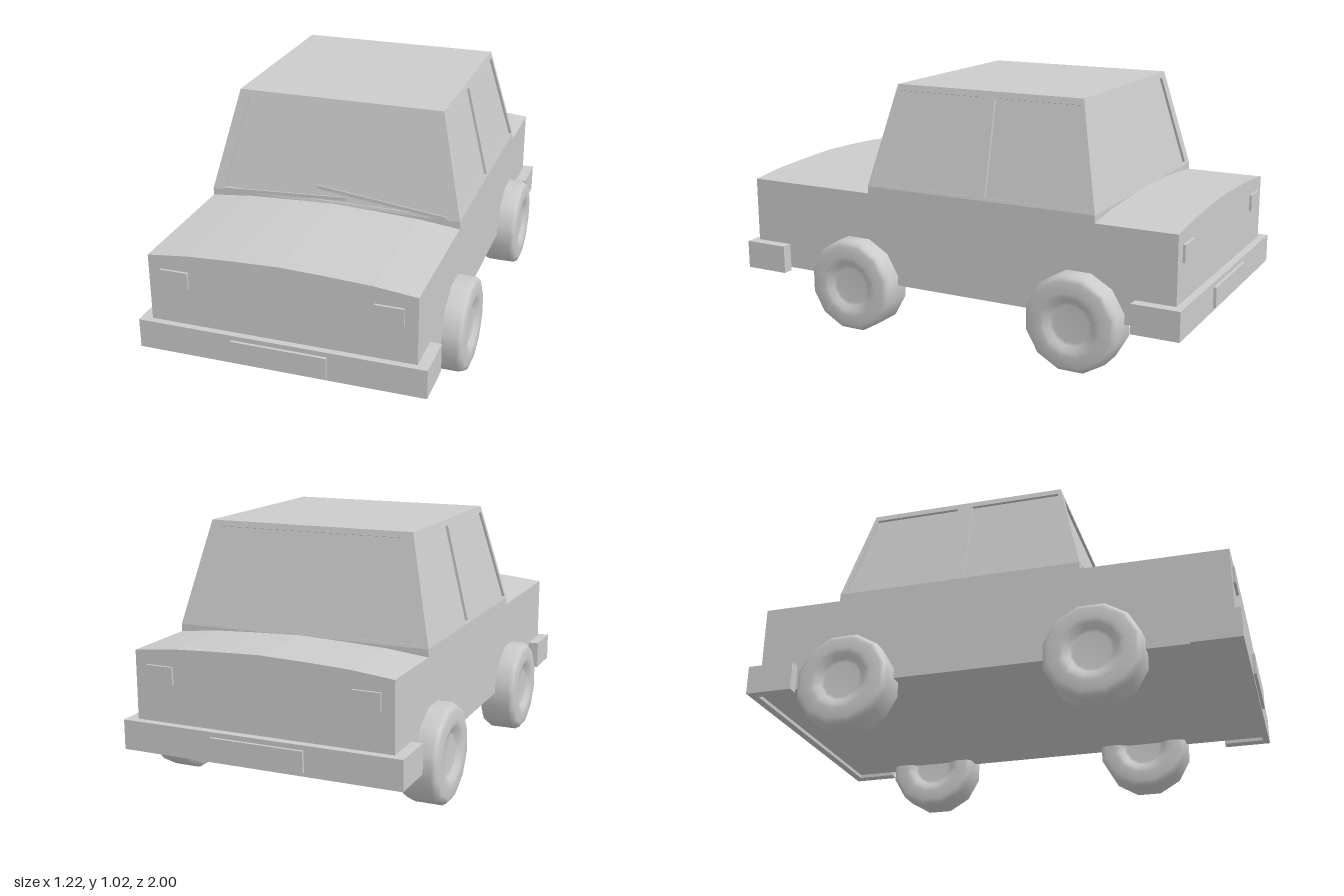
import * as THREE from 'three';

const mat = new THREE.MeshStandardMaterial({ color: 0xcccccc, flatShading: true, side: THREE.DoubleSide });
const smoothMat = new THREE.MeshStandardMaterial({ color: 0xcccccc });
const V = (x, y, z) => new THREE.Vector3(x, y, z);
const shapeOf = pts => new THREE.Shape(pts.map(p => new THREE.Vector2(...p)));
const extrude = (shape, depth) => new THREE.ExtrudeGeometry(shape, { depth, bevelEnabled: false });

function add(parent, name, geometry, material = mat) {
  const mesh = new THREE.Mesh(geometry, material);
  mesh.name = name;
  parent.add(mesh);
  return mesh;
}

// Box given by its limits on each axis
function box(parent, name, [x0, x1], [y0, y1], [z0, z1]) {
  const mesh = add(parent, name, new THREE.BoxGeometry(x1 - x0, y1 - y0, z1 - z0));
  mesh.position.set((x0 + x1) / 2, (y0 + y1) / 2, (z0 + z1) / 2);
  return mesh;
}

// Cabin dimensions
const BELT = 0.605, ROOF = 1.02, HALF_BASE = 0.527, HALF_ROOF = 0.427;
const FRONT_BASE = 0.382, FRONT_ROOF = 0.288, REAR_BASE = -0.628, REAR_ROOF = -0.533;

// Sloping cabin wall: outline and window corners are [distance along the wall, height]
function cabinWall(parent, name, origin, along, slope, outline, windows) {
  const k = slope.length() / slope.y, t = 0.015;
  const flat = pts => pts.map(([u, y]) => [u, (y - BELT) * k]);
  const wall = new THREE.Group();
  wall.name = name;
  const v = slope.clone().normalize();
  wall.applyMatrix4(new THREE.Matrix4().makeBasis(along, v, along.clone().cross(v)).setPosition(origin));
  const shape = shapeOf(flat(outline));
  for (const w of windows) {
    shape.holes.push(shapeOf(flat(w)));
    add(wall, 'windowGlass', new THREE.ShapeGeometry(shapeOf(flat(w)))).position.z = -0.011;
  }
  add(wall, 'windowFrame', extrude(shape, t)).position.z = -t;
  parent.add(wall);
}

function buildCabin(car) {
  const cabin = new THREE.Group();
  cabin.name = 'cabin';
  car.add(cabin);
  box(cabin, 'beltLine', [-HALF_BASE, HALF_BASE], [0.575, BELT], [REAR_BASE, FRONT_BASE]);
  box(cabin, 'roof', [-HALF_ROOF, HALF_ROOF], [ROOF - 0.015, ROOF], [REAR_ROOF, FRONT_ROOF]);

  // Windscreen and rear window
  const endOutline = [[-HALF_BASE, BELT], [HALF_BASE, BELT], [HALF_ROOF, ROOF], [-HALF_ROOF, ROOF]];
  const endGlass = [[-0.477, 0.617], [0.477, 0.617], [0.387, 0.997], [-0.387, 0.997]];
  const h = ROOF - BELT;
  cabinWall(cabin, 'windscreen', V(0, BELT, FRONT_BASE), V(1, 0, 0), V(0, h, FRONT_ROOF - FRONT_BASE), endOutline, [endGlass]);
  cabinWall(cabin, 'rearWindow', V(0, BELT, REAR_BASE), V(-1, 0, 0), V(0, h, REAR_ROOF - REAR_BASE), endOutline, [endGlass]);

  // Side walls, two windows each, split by the middle pillar
  const sideOutline = [[REAR_BASE, BELT], [FRONT_BASE, BELT], [FRONT_ROOF, ROOF], [REAR_ROOF, ROOF]];
  const sideGlass = [
    [[-0.095, 0.617], [0.36, 0.617], [0.276, 0.995], [-0.095, 0.995]],
    [[-0.605, 0.617], [-0.16, 0.617], [-0.16, 0.995], [-0.52, 0.995]],
  ];
  for (const s of [1, -1]) {
    const flip = pts => pts.map(([z, y]) => [-s * z, y]);
    cabinWall(cabin, s > 0 ? 'leftSide' : 'rightSide', V(s * HALF_BASE, BELT, 0), V(0, 0, -s),
      V(s * (HALF_ROOF - HALF_BASE), h, 0), flip(sideOutline), sideGlass.map(flip));
  }
}

// Straight wiper blade from pivot to tip
function wiper(car, [x0, y0], [x1, y1]) {
  const blade = add(car, 'wiper', new THREE.BoxGeometry(Math.hypot(x1 - x0, y1 - y0), 0.015, 0.005));
  blade.position.set((x0 + x1) / 2, (y0 + y1) / 2, 0.384);
  blade.rotation.z = Math.atan2(y1 - y0, x1 - x0);
}

// Bumper wrapped round the body corners, with plate and lamps
function buildEnd(car, name, sign, bodyEnd) {
  const end = new THREE.Group();
  end.name = name;
  const o = 0.572, i = 0.527;
  const bumper = extrude(shapeOf([[-o, 0.795], [-o, 0.988], [o, 0.988], [o, 0.795],
    [i, 0.795], [i, bodyEnd], [-i, bodyEnd], [-i, 0.795]]), 0.118);
  bumper.rotateX(Math.PI / 2);
  add(end, 'bumper', bumper).position.y = 0.303;
  box(end, 'numberPlate', [-0.19, 0.19], [0.2, 0.284], [0.98, 1]);
  for (const s of [-1, 1]) {
    box(end, 'lamp', [s * 0.421 - 0.056, s * 0.421 + 0.056], [0.456, 0.525], [bodyEnd - 0.01, bodyEnd + 0.01]);
  }
  if (sign < 0) end.rotation.y = Math.PI;
  car.add(end);
}

// Tyre and dished hub turned as one smooth shape
function buildWheels(car) {
  const R = 0.19 / Math.cos(Math.PI / 12);
  const half = [[0, 0.058], [0.075, 0.058], [0.088, 0.063], [0.108, 0.078], [0.13, 0.081],
    [0.172, 0.078], [0.187, 0.071], [R, 0.055]];
  const profile = [...half.map(([r, y]) => [r, -y]), ...half.slice().reverse()];
  const geometry = new THREE.LatheGeometry(profile.map(p => new THREE.Vector2(...p)), 12);
  geometry.rotateY(Math.PI / 12);
  geometry.rotateZ(-Math.PI / 2);
  for (const s of [-1, 1]) {
    for (const z of [0.435, -0.565]) {
      add(car, z > 0 ? 'frontWheel' : 'rearWheel', geometry, smoothMat).position.set(s * 0.531, 0.19, z);
    }
  }
}

export function createModel() {
  const car = new THREE.Group();
  car.name = 'car';

  // Lower body with a gently crowned top
  const section = shapeOf([[-0.527, 0.2], [0.527, 0.2], [0.527, 0.575], [0.36, 0.593], [0.18, 0.602],
    [0, 0.608], [-0.18, 0.602], [-0.36, 0.593], [-0.527, 0.575]]);
  add(car, 'body', extrude(section, 1.917)).position.z = -0.956;

  buildCabin(car);
  wiper(car, [-0.475, 0.608], [0.06, 0.638]);
  wiper(car, [0.47, 0.612], [-0.065, 0.676]);
  buildEnd(car, 'frontEnd', 1, 0.961);
  buildEnd(car, 'rearEnd', -1, 0.956);
  buildWheels(car);
  return car;
}
